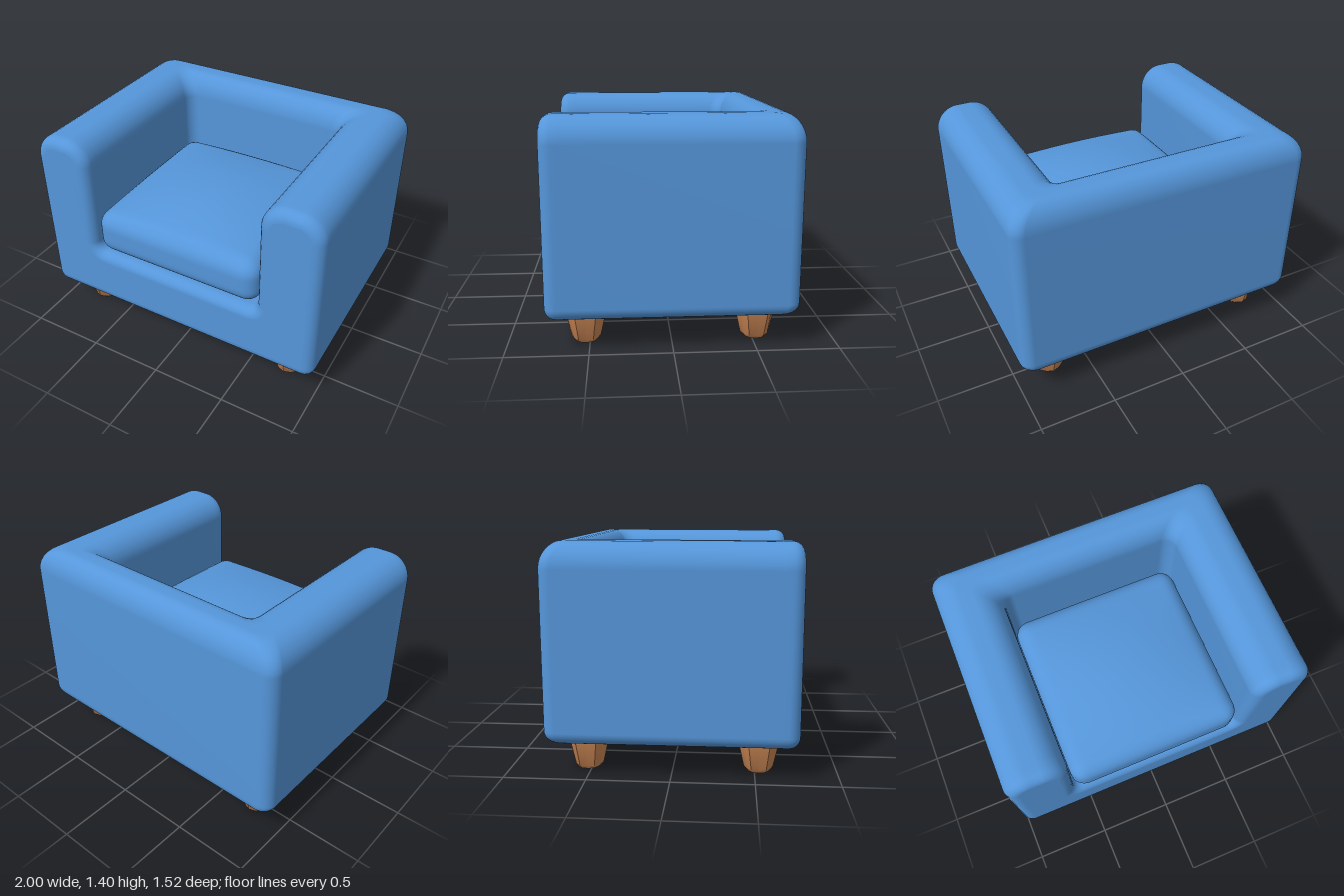
import * as THREE from 'three';
import { mergeVertices, toCreasedNormals } from 'three/addons/utils/BufferGeometryUtils.js';

const BOTTOM = 0.2, TOP = 1.4, SEAT = 0.6;
const ARM = 0.4, BACK = 0.29, BACK_Z = -0.76, FRONT_Z = 0.76;
const ROLL = 0.16, EDGE = 0.08;

// Weld vertices and recompute soft normals
function smooth(geo) {
  geo.deleteAttribute('normal');
  geo.deleteAttribute('uv');
  const g = mergeVertices(geo, 1e-4);
  g.computeVertexNormals();
  return g;
}

// Rolled wall section swept around both arms and the back.
// t runs from the outer face (0) to the inner face (1).
function wallGeometry() {
  const profile = [[1, BOTTOM], [0.6, BOTTOM]];
  const arc = (ct, cy, rt, ry, a0, a1) => {
    for (let i = 0; i <= 8; i++) {
      const a = a0 + (a1 - a0) * i / 8;
      profile.push([ct + rt * Math.cos(a), cy + ry * Math.sin(a)]);
    }
  };
  arc(0.2, BOTTOM + EDGE, 0.2, EDGE, Math.PI * 1.5, Math.PI);
  arc(0.4, TOP - ROLL, 0.4, ROLL, Math.PI, Math.PI / 2);
  arc(0.6, TOP - ROLL, 0.4, ROLL, Math.PI / 2, 0);
  profile.push([1, 0.5]);

  // Plan path at depth t: left arm, rounded corner, back, mirrored to the right
  const path = t => {
    const x = 1 - ARM * t, z = BACK_Z + BACK * t;
    const half = [[x, 0.67]];
    for (let i = 0; i <= 8; i++) {
      const a = Math.PI / 2 * i / 8;
      half.push([x - EDGE + EDGE * Math.cos(a), z + EDGE - EDGE * Math.sin(a)]);
    }
    return [...half, ...half.slice().reverse().map(([px, pz]) => [-px, pz])];
  };
  const columns = profile.map(([t]) => path(t));
  const m = profile.length, n = columns[0].length;
  const pos = [], idx = [];
  for (let u = 0; u < n; u++) {
    for (let v = 0; v < m; v++) {
      pos.push(columns[v][u][0], profile[v][1], columns[v][u][1]);
      if (u < n - 1 && v < m - 1) {
        const a = u * m + v, b = a + m;
        idx.push(a, b, a + 1, b, b + 1, a + 1);
      }
    }
  }
  const g = new THREE.BufferGeometry();
  g.setAttribute('position', new THREE.Float32BufferAttribute(pos, 3));
  g.setIndex(idx);
  g.computeVertexNormals();
  return g;
}

// U-shaped front with softly rounded edges
function frontGeometry() {
  const s = new THREE.Shape(), P = Math.PI, f = 0.06, bevel = 0.07;
  const y = TOP - ROLL, xo = 1 - ROLL, xi = 1 - ARM + ROLL, xf = 1 - ARM - f;
  s.moveTo(-1 + EDGE, BOTTOM);
  s.absarc(1 - EDGE, BOTTOM + EDGE, EDGE, -P / 2, 0);
  s.absarc(xo, y, ROLL, 0, P / 2);
  s.absarc(xi, y, ROLL, P / 2, P);
  s.absarc(xf, SEAT + f, f, 0, -P / 2, true);
  s.absarc(-xf, SEAT + f, f, -P / 2, -P, true);
  s.absarc(-xi, y, ROLL, 0, P / 2);
  s.absarc(-xo, y, ROLL, P / 2, P);
  s.absarc(-1 + EDGE, BOTTOM + EDGE, EDGE, P, P * 1.5);
  const g = new THREE.ExtrudeGeometry(s, {
    depth: 0.05, curveSegments: 8, bevelEnabled: true, bevelSegments: 6,
    bevelSize: bevel, bevelThickness: bevel, bevelOffset: -bevel,
  });
  g.translate(0, 0, FRONT_Z - bevel - 0.05);
  return smooth(g);
}

// Rounded block with a domed top
function cushionGeometry() {
  const w = 1.186, h = 0.3, d = 1.19, r = 0.1;
  const g = new THREE.BoxGeometry(w, h, d, 40, 14, 40);
  const p = g.attributes.position, v = new THREE.Vector3();
  const limit = new THREE.Vector3(w / 2 - r, h / 2 - r, d / 2 - r);
  const low = limit.clone().negate();
  for (let i = 0; i < p.count; i++) {
    v.fromBufferAttribute(p, i);
    const inner = v.clone().clamp(low, limit);
    v.sub(inner).setLength(r).add(inner);
    const dome = (1 - (2 * v.x / w) ** 2) * (1 - (2 * v.z / d) ** 2);
    v.y += 0.095 * dome * Math.max(0, v.y / h + 0.5);
    p.setXYZ(i, v.x, v.y, v.z);
  }
  return smooth(g);
}

// Tapered foot: six-sided at the top, nearly round at the floor
function legGeometry() {
  const pts = [[0, 0], [0.07, 0], [0.09, 0.022], [0.13, 0.2], [0.132, 0.21]];
  const g = new THREE.LatheGeometry(pts.map(([x, y]) => new THREE.Vector2(x, y)), 12);
  const p = g.attributes.position;
  for (let i = 0; i < p.count; i++) {
    const odd = Math.floor(i / pts.length) % 2;
    const k = odd ? 0.97 - 0.1 * Math.min(1, p.getY(i) / 0.2) : 1;
    p.setX(i, p.getX(i) * k);
    p.setZ(i, p.getZ(i) * k);
  }
  return toCreasedNormals(smooth(g), 0.6);
}

export function createModel() {
  const group = new THREE.Group();
  group.name = 'armchair';
  const fabric = new THREE.MeshStandardMaterial({ color: 0x5596da });
  fabric.name = 'blue fabric';
  const wood = new THREE.MeshStandardMaterial({ color: 0xcb8755 });
  wood.name = 'brown wood';

  const add = (name, geo, mat, x = 0, y = 0, z = 0) => {
    const mesh = new THREE.Mesh(geo, mat);
    mesh.name = name;
    mesh.position.set(x, y, z);
    group.add(mesh);
  };

  // Upholstered body
  add('armsAndBack', wallGeometry(), fabric);
  add('frontFrame', frontGeometry(), fabric);
  add('seatBase', new THREE.BoxGeometry(1.2, SEAT - BOTTOM, 1.15), fabric, 0, 0.4, 0.085);
  add('seatCushion', cushionGeometry(), fabric, 0, 0.76, 0.15);

  // Four legs
  const leg = legGeometry();
  for (const [side, x] of [['Left', 0.755], ['Right', -0.755]])
    for (const [end, z] of [['front', 0.525], ['back', -0.525]])
      add(`${end}${side}Leg`, leg, wood, x, 0, z);

  return group;
}
